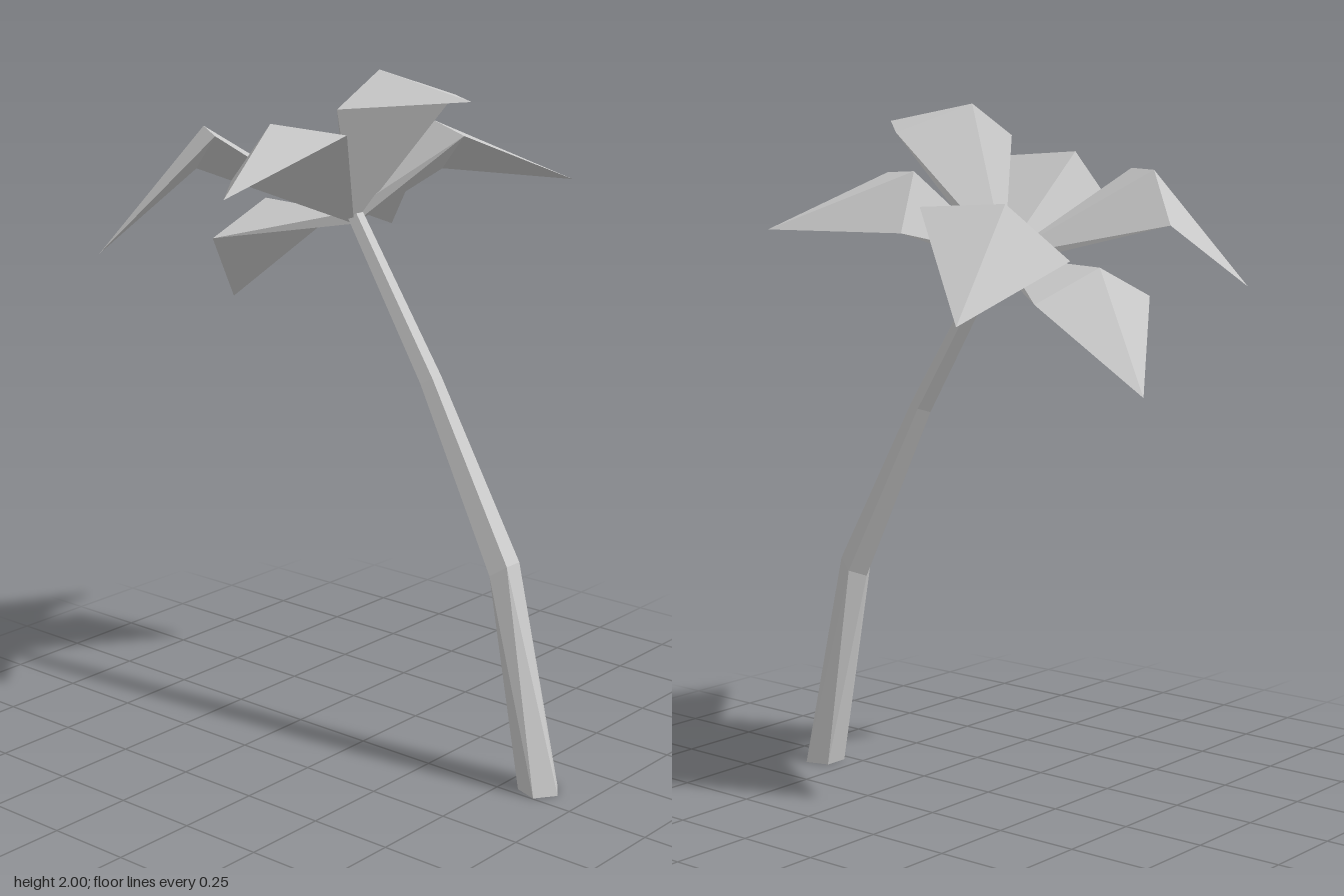
import * as THREE from 'three';

const material = new THREE.MeshStandardMaterial({
  color: 0xcccccc, flatShading: true, side: THREE.DoubleSide,
});

// Faceted mesh from a list of triangles given as corner points
function facetedMesh(name, triangles) {
  const geometry = new THREE.BufferGeometry();
  geometry.setAttribute('position', new THREE.Float32BufferAttribute(triangles.flat(2), 3));
  geometry.computeVertexNormals();
  const mesh = new THREE.Mesh(geometry, material);
  mesh.name = name;
  return mesh;
}

// Curved trunk: five-sided rings that taper, tilt and twist slightly
function createTrunk() {
  const sides = 5;
  const sections = [
    { y: 0, z: 0.605, r: 0.062, tilt: 0, twist: 0 },
    { y: 0.63, z: 0.465, r: 0.05, tilt: 0.6, twist: Math.PI / 5 },
    { y: 1.135, z: 0.2, r: 0.034, tilt: 0.5, twist: Math.PI / 5 },
    { y: 1.575, z: -0.075, r: 0.025, tilt: 0.5, twist: Math.PI / 5 },
  ];
  const rings = sections.map(({ y, z, r, tilt, twist }, k) =>
    Array.from({ length: sides }, (_, i) => {
      const a = (i / sides) * Math.PI * 2 + twist;
      const depth = r * Math.cos(a);
      return [0.062 - k * 0.003 + r * Math.sin(a), y + depth * Math.sin(tilt), z + depth * Math.cos(tilt)];
    }));
  const triangles = [];
  const first = rings[0], last = rings[rings.length - 1];
  for (let i = 0; i < sides; i++) {
    const j = (i + 1) % sides;
    for (let k = 0; k < rings.length - 1; k++) {
      const lower = rings[k], upper = rings[k + 1];
      triangles.push([lower[i], lower[j], upper[i]], [lower[j], upper[j], upper[i]]);
    }
    if (i > 0 && j > 0) {
      triangles.push([first[0], first[j], first[i]], [last[0], last[i], last[j]]);
    }
  }
  return facetedMesh('trunk', triangles);
}

// Frond: a folded, closed blade with a raised ridge and a flatter underside
const crownTop = [0.05, 1.58, -0.1];
const crownBottom = [0.055, 1.55, -0.08];
function createFrond(name, l, ridge, r, tip) {
  return facetedMesh(name, [
    [crownTop, l, ridge], [crownTop, ridge, r],
    [l, tip, ridge], [ridge, tip, r],
    [crownBottom, r, l], [l, r, tip],
    [crownTop, crownBottom, l], [crownTop, r, crownBottom],
  ]);
}

export function createModel() {
  const group = new THREE.Group();
  group.name = 'palmTree';
  group.add(createTrunk());

  // Each frond: one edge, ridge, other edge, tip
  const fronds = {
    frontFrond: [[-0.18, 1.91, 0.06], [0.01, 2.0, 0.05], [0.22, 1.92, 0.15], [-0.07, 1.95, 0.43]],
    frontLeftFrond: [[0.2, 1.81, 0.2], [0.35, 1.82, -0.03], [0.46, 1.66, -0.08], [0.545, 1.66, 0.33]],
    backLeftFrond: [[0.43, 1.73, -0.12], [0.33, 1.74, -0.33], [0.22, 1.59, -0.46], [0.595, 1.44, -0.385]],
    backFrond: [[0.32, 1.48, -0.42], [0.13, 1.57, -0.49], [-0.1, 1.48, -0.49], [0.17, 1.24, -0.665]],
    backRightFrond: [[-0.08, 1.675, -0.57], [-0.17, 1.82, -0.45], [-0.3, 1.82, -0.28], [-0.49, 1.485, -0.555]],
    rightFrond: [[-0.285, 1.7, -0.235], [-0.26, 1.865, -0.11], [-0.215, 1.85, 0.125], [-0.595, 1.715, 0.03]],
  };
  for (const [name, points] of Object.entries(fronds)) group.add(createFrond(name, ...points));
  return group;
}
